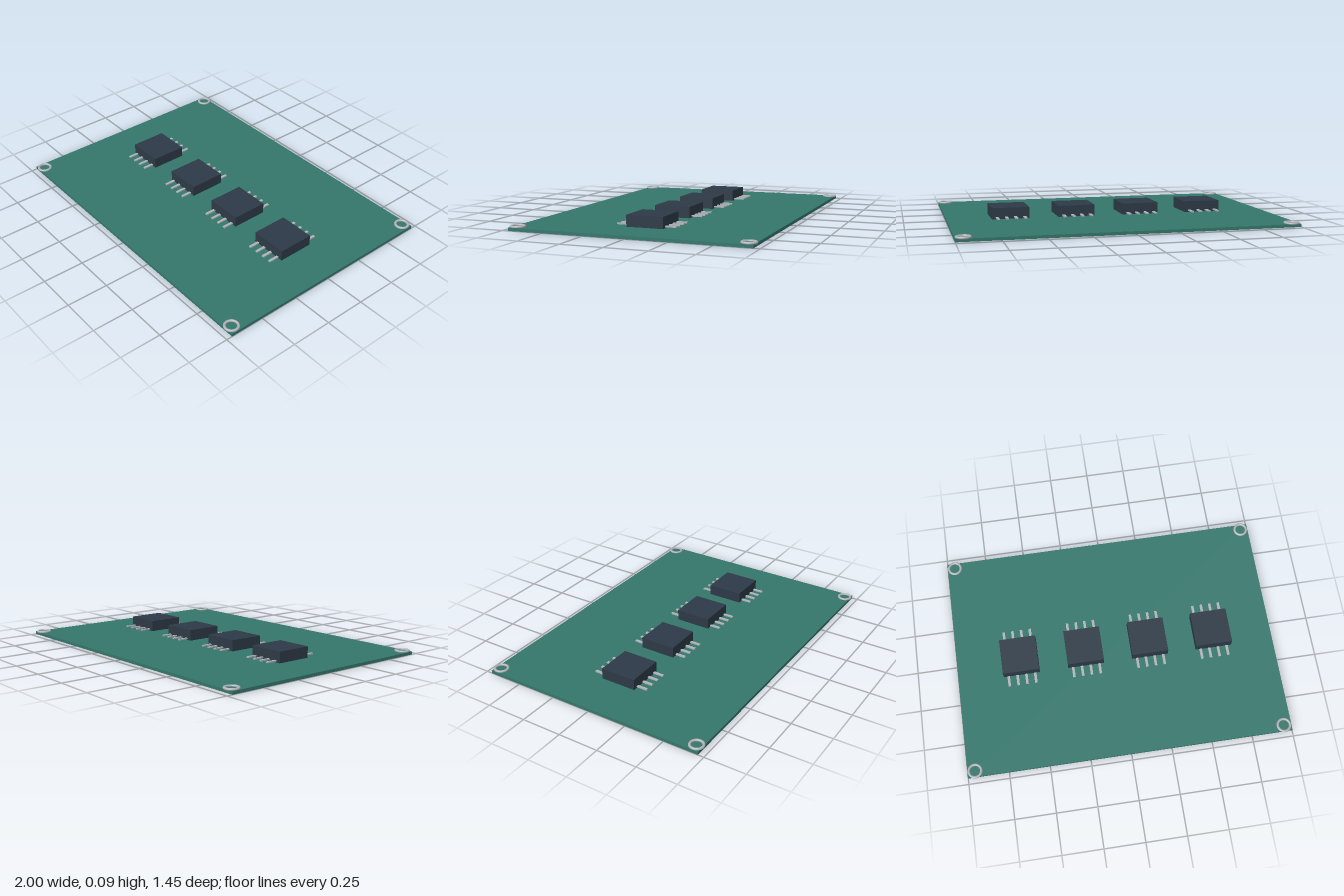
import * as THREE from 'three';

const material = (color) => new THREE.MeshStandardMaterial({ color });

function addMesh(parent, name, geometry, mat, x, y, z) {
  const mesh = new THREE.Mesh(geometry, mat);
  mesh.name = name;
  mesh.position.set(x, y, z);
  parent.add(mesh);
  return mesh;
}

export function createModel() {
  const model = new THREE.Group();
  model.name = 'circuitBoard';
  const green = material(0x34776c);
  const dark = material(0x2d3a47);
  const metal = material(0xb0b4b8);

  // Flat board
  const top = 0.018;
  addMesh(model, 'board', new THREE.BoxGeometry(2, top, 1.428), green, 0, top / 2, 0);

  // Raised rings at the corners
  const ringGeometry = new THREE.TorusGeometry(0.038, 0.008, 12, 32).rotateX(Math.PI / 2);
  for (const sx of [-1, 1]) {
    for (const sz of [-1, 1]) {
      addMesh(model, 'cornerRing', ringGeometry, metal, sx * 0.953, 0.021, sz * 0.678);
    }
  }

  // Row of four chips, each with four pins at the front and back
  const bodyGeometry = new THREE.BoxGeometry(0.228, 0.068, 0.224);
  const pinGeometry = new THREE.BoxGeometry(0.016, 0.008, 0.066);
  for (let i = 0; i < 4; i++) {
    const chip = new THREE.Group();
    chip.name = 'chip';
    chip.position.set(-0.602 + i * 0.407, top, 0);
    addMesh(chip, 'chipBody', bodyGeometry, dark, 0, 0.034, 0);
    for (let p = 0; p < 4; p++) {
      for (const side of [-1, 1]) {
        addMesh(chip, 'pin', pinGeometry, metal, (p - 1.5) * 0.0555, 0.011, side * 0.148);
      }
    }
    model.add(chip);
  }
  return model;
}
